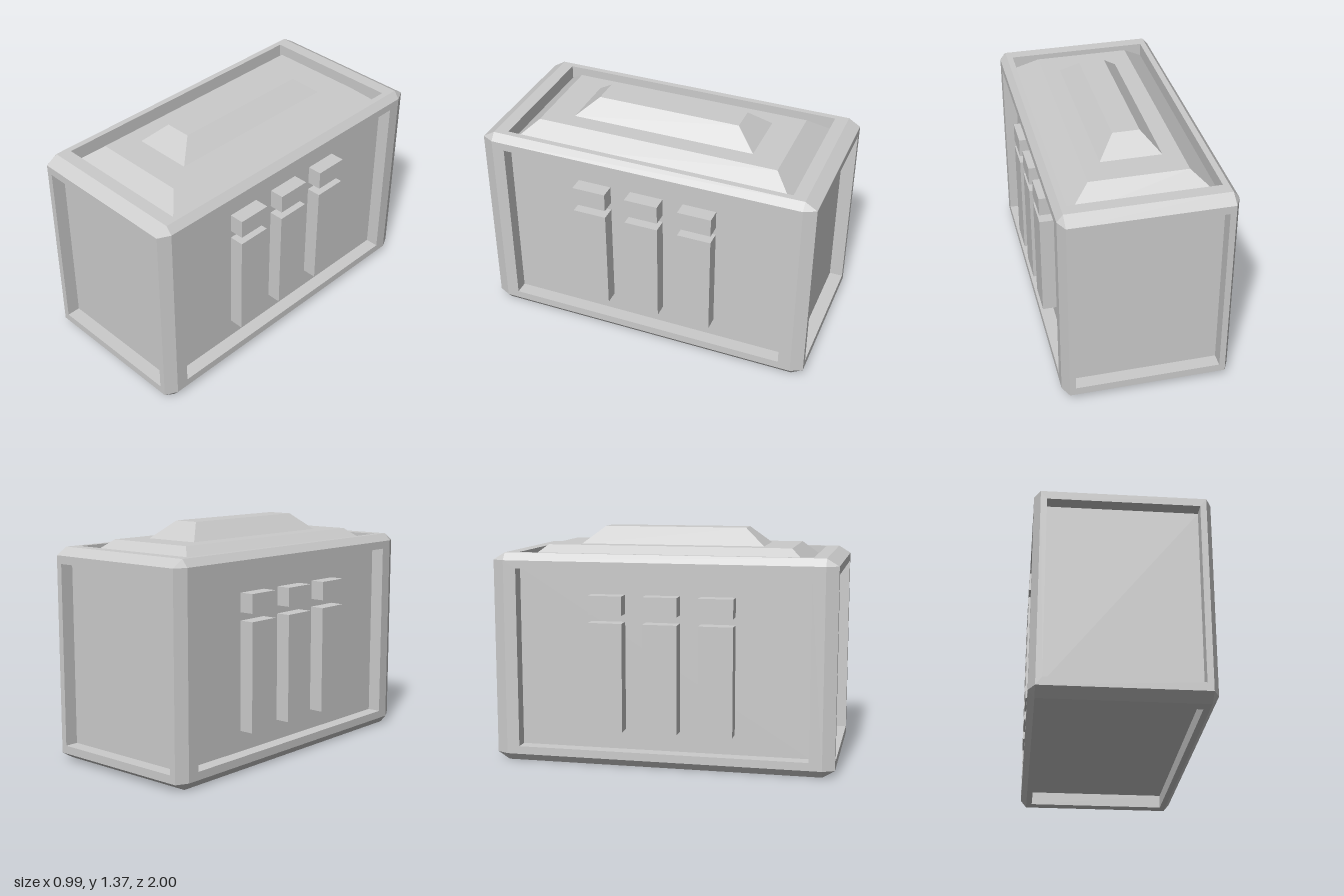
import * as THREE from 'three';

const HALF = [0.49, 0.6175, 1];        // body half sizes
const CHAMFER = [0.035, 0.043, 0.07];  // edge cut along each axis
const BORDER = [0.07, 0.09, 0.145];    // frame width along each axis
const DEPTH = 0.08;                    // how far the panels are sunk
const SIGNS = [-1, 1];

const material = new THREE.MeshStandardMaterial({ color: 0xcccccc, flatShading: true });

// Collects convex polygons, turning each one to face the given direction
function faceBuilder() {
  const positions = [];
  return {
    add(points, facing) {
      const [a, b, c] = points;
      const normal = new THREE.Vector3().crossVectors(b.clone().sub(a), c.clone().sub(a));
      const pts = normal.dot(facing) < 0 ? [...points].reverse() : points;
      for (let i = 1; i < pts.length - 1; i++) {
        for (const p of [pts[0], pts[i], pts[i + 1]]) positions.push(p.x, p.y, p.z);
      }
    },
    mesh(name) {
      const geometry = new THREE.BufferGeometry();
      geometry.setAttribute('position', new THREE.Float32BufferAttribute(positions, 3));
      geometry.computeVertexNormals();
      const mesh = new THREE.Mesh(geometry, material);
      mesh.name = name;
      mesh.position.y = HALF[1];
      return mesh;
    },
  };
}

// Point with coordinate n on axis k, and p, q on the next two axes
function onAxis(k, n, p, q) {
  const v = new THREE.Vector3();
  v.setComponent(k, n);
  v.setComponent((k + 1) % 3, p);
  v.setComponent((k + 2) % 3, q);
  return v;
}

function rectangle(k, n, inset) {
  const i = (k + 1) % 3, j = (k + 2) % 3;
  const p = HALF[i] - inset[i], q = HALF[j] - inset[j];
  return [[-1, -1], [1, -1], [1, 1], [-1, 1]].map(([a, b]) => onAxis(k, n, a * p, b * q));
}

function createBody() {
  const frame = faceBuilder(), panels = faceBuilder();
  for (let k = 0; k < 3; k++) {
    const i = (k + 1) % 3, j = (k + 2) % 3;

    // Flat border, recess walls and sunk panel on each side
    for (const s of SIGNS) {
      const out = onAxis(k, s, 0, 0);
      const outer = rectangle(k, s * HALF[k], CHAMFER);
      const inner = rectangle(k, s * HALF[k], BORDER);
      const floor = rectangle(k, s * (HALF[k] - DEPTH), BORDER);
      for (let a = 0; a < 4; a++) {
        const b = (a + 1) % 4;
        frame.add([outer[a], outer[b], inner[b], inner[a]], out);
        const inward = inner[a].clone().add(inner[b]).negate().setComponent(k, 0);
        frame.add([inner[a], inner[b], floor[b], floor[a]], inward);
      }
      panels.add(floor, out);
    }

    // Chamfers along the four edges parallel to this axis
    const length = HALF[k] - CHAMFER[k];
    for (const s of SIGNS) for (const t of SIGNS) {
      const full = [s * HALF[i], t * HALF[j]];
      const cut = [s * (HALF[i] - CHAMFER[i]), t * (HALF[j] - CHAMFER[j])];
      frame.add([
        onAxis(k, -length, full[0], cut[1]), onAxis(k, length, full[0], cut[1]),
        onAxis(k, length, cut[0], full[1]), onAxis(k, -length, cut[0], full[1]),
      ], onAxis(k, 0, s, t));
    }
  }

  // Triangles cutting the eight corners
  for (const x of SIGNS) for (const y of SIGNS) for (const z of SIGNS) {
    const sign = new THREE.Vector3(x, y, z);
    const corner = [0, 1, 2].map((k) => new THREE.Vector3(
      ...HALF.map((h, m) => sign.getComponent(m) * (m === k ? h : h - CHAMFER[m]))));
    frame.add(corner, sign);
  }
  return [frame.mesh('frame'), panels.mesh('sunkPanels')];
}

// Box whose top is drawn in to a smaller rectangle
function createFrustum(name, bottom, top, y0, y1) {
  const geometry = new THREE.BoxGeometry(2, y1 - y0, 2);
  const pos = geometry.attributes.position;
  for (let i = 0; i < pos.count; i++) {
    const size = pos.getY(i) > 0 ? top : bottom;
    pos.setX(i, pos.getX(i) * size[0]);
    pos.setZ(i, pos.getZ(i) * size[1]);
  }
  geometry.computeVertexNormals();
  const mesh = new THREE.Mesh(geometry, material);
  mesh.name = name;
  mesh.position.y = (y0 + y1) / 2;
  return mesh;
}

function createBlock(name, side, y0, y1, z) {
  const x0 = 0.405, x1 = 0.496;
  const mesh = new THREE.Mesh(new THREE.BoxGeometry(x1 - x0, y1 - y0, 0.2), material);
  mesh.name = name;
  mesh.position.set(side * (x0 + x1) / 2, (y0 + y1) / 2, z);
  return mesh;
}

export function createModel() {
  const model = new THREE.Group();
  model.name = 'crate';
  model.add(...createBody());

  // Stepped lid filling the top recess
  model.add(createFrustum('lid', [0.42, 0.855], [0.28, 0.72], 1.155, 1.272));
  model.add(createFrustum('lidRidge', [0.175, 0.545], [0.077, 0.425], 1.272, 1.372));

  // Three bars with a short cap above each, on both long sides
  for (const side of SIGNS) {
    for (const z of [-0.322, 0, 0.322]) {
      model.add(createBlock('sideBar', side, 0.21, 0.843, z));
      model.add(createBlock('sideBarCap', side, 0.89, 1.0, z));
    }
  }
  return model;
}
